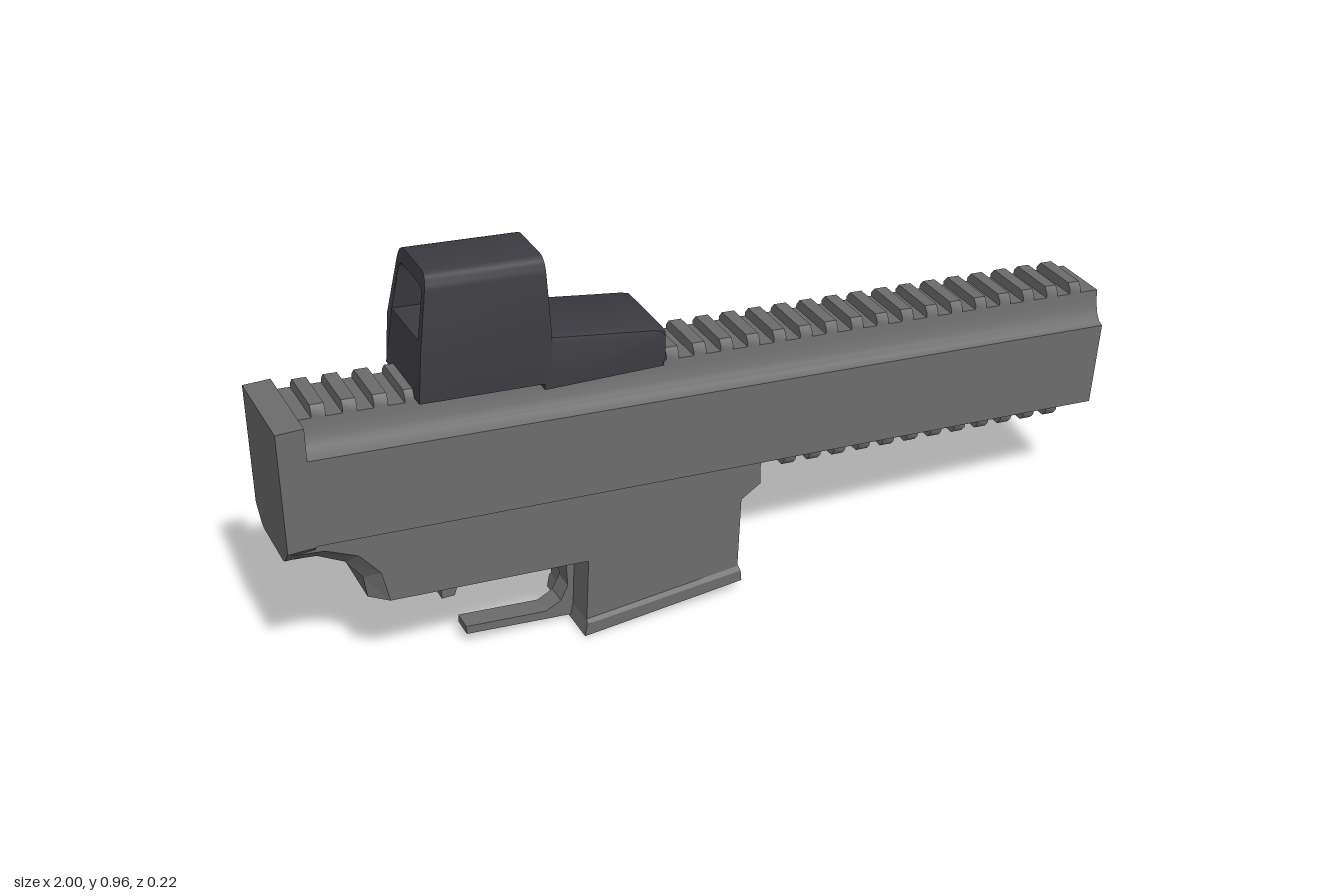
import * as THREE from 'three';
import { toCreasedNormals } from 'three/addons/utils/BufferGeometryUtils.js';

const TILT = 0.08; // the long upper half slopes down to the front end

// Joins outlines (counter-clockwise x,y points) placed at rising z into a closed solid
function loft(rings) {
  const pos = [];
  const n = rings[0][1].length;
  const put = (k, i) => pos.push(...rings[k][1][i % n], rings[k][0]);
  for (let k = 0; k < rings.length - 1; k++) {
    for (let i = 0; i < n; i++) {
      put(k, i); put(k, i + 1); put(k + 1, i + 1);
      put(k, i); put(k + 1, i + 1); put(k + 1, i);
    }
  }
  const last = rings.length - 1;
  const capOf = (k) => THREE.ShapeUtils.triangulateShape(rings[k][1].map(p => new THREE.Vector2(...p)), []);
  capOf(last).forEach(t => t.forEach(i => put(last, i)));
  capOf(0).forEach(t => [t[0], t[2], t[1]].forEach(i => put(0, i)));
  const g = new THREE.BufferGeometry();
  g.setAttribute('position', new THREE.Float32BufferAttribute(pos, 3));
  g.computeVertexNormals();
  return g;
}

// Same outline from -w to w
const slab = (pts, w) => loft([[-w, pts], [w, pts]]);

// Mirrored cross-section (half outline of [z, y], bottom to top) run along x
function beam(half, x0, x1) {
  const pts = [...half, ...half.map(([z, y]) => [-z, y]).reverse()];
  const g = slab(pts, (x1 - x0) / 2);
  g.rotateY(Math.PI / 2);
  g.translate((x0 + x1) / 2, 0, 0);
  return toCreasedNormals(g, 0.7);
}

export function createModel() {
  const model = new THREE.Group();
  const grey = new THREE.MeshStandardMaterial({ color: 0x6c6c6d });
  grey.name = 'bodyGrey';
  const dark = new THREE.MeshStandardMaterial({ color: 0x3c3b41 });
  dark.name = 'sightDark';
  const add = (name, geo, mat = grey, parent = model) => {
    const m = new THREE.Mesh(geo, mat);
    m.name = name;
    parent.add(m);
    return m;
  };

  // Sloping upper half, with concave shoulders
  const upper = new THREE.Group();
  upper.name = 'upperBody';
  upper.rotation.z = -TILT;
  model.add(upper);
  add('upperHull', beam([[0.11, 0.345], [0.11, 0.548], [0.097, 0.553], [0.086, 0.566],
    [0.078, 0.585], [0.073, 0.605], [0.07, 0.623]], -1.0, 0.953), grey, upper);
  add('lowerChamfer', beam([[0.055, 0.31], [0.11, 0.346]], 0.116, 0.953), grey, upper);

  // Rail teeth, above and below
  const topTooth = beam([[0.07, 0.615], [0.07, 0.632], [0.058, 0.647]], -0.015, 0.015);
  for (let i = 0; i < 29; i++) {
    add('topRailTooth', topTooth, grey, upper).position.x = -0.95 + i * 0.0657;
  }
  const bottomTooth = beam([[0.046, 0.289], [0.056, 0.302], [0.056, 0.315]], -0.015, 0.015);
  for (let i = 0; i < 12; i++) {
    add('bottomRailTooth', bottomTooth, grey, upper).position.x = 0.166 + i * 0.0654;
  }

  // Rear block with an upright back face and narrowed bottom corners
  add('rearBlock', beam([[0.08, 0.385], [0.112, 0.42], [0.112, 0.703]], -1, -0.94));

  // Lower body: the rear scoop is chamfered between two arcs
  const rest = [[-0.335, 0.197], [-0.345, 0.02], [0.032, 0.05], [0.042, 0.25],
    [0.09, 0.28], [0.09, 0.345], [-1, 0.43]];
  const outer = [[-1, 0.41], [-0.92, 0.4], [-0.85, 0.367], [-0.805, 0.31], [-0.79, 0.235], ...rest];
  const inner = [[-1, 0.38], [-0.93, 0.372], [-0.872, 0.34], [-0.836, 0.29], [-0.83, 0.238], ...rest];
  add('lowerBody', loft([[-0.102, outer], [-0.07, inner], [0.07, inner], [0.102, outer]]));

  // Flared lip around the bottom of the well
  const lip = [[-0.352, 0.004], [0.04, 0.035], [0.038, 0.062], [-0.346, 0.034]];
  const lipTop = [[-0.352, 0.004], [0.04, 0.035], [0.034, 0.075], [-0.342, 0.047]];
  add('wellLip', loft([[-0.109, lip], [-0.1, lipTop], [0.1, lipTop], [0.109, lip]]));

  // Guard bar with its curved web, and the short rear post
  add('guardBar', slab([[-0.6, 0.036], [-0.35, 0.01], [-0.33, 0.01], [-0.33, 0.2], [-0.43, 0.205],
    [-0.385, 0.178], [-0.357, 0.145], [-0.355, 0.09], [-0.373, 0.055], [-0.41, 0.037], [-0.6, 0.056]], 0.025));
  add('rearPost', slab([[-0.655, 0.155], [-0.625, 0.155], [-0.617, 0.18], [-0.59, 0.2],
    [-0.55, 0.21], [-0.55, 0.23], [-0.655, 0.23]], 0.035));

  // Sight hood: open frame with a leaning back
  const sight = new THREE.Group();
  sight.name = 'sight';
  model.add(sight);
  const frame = new THREE.Shape();
  frame.moveTo(-0.1, 0.685);
  frame.lineTo(0.1, 0.685);
  frame.lineTo(0.1, 0.8);
  frame.lineTo(0.082, 0.93);
  frame.quadraticCurveTo(0.077, 0.965, 0.05, 0.965);
  frame.lineTo(-0.05, 0.965);
  frame.quadraticCurveTo(-0.077, 0.965, -0.082, 0.93);
  frame.lineTo(-0.1, 0.8);
  frame.closePath();
  const opening = new THREE.Path();
  opening.moveTo(-0.078, 0.82);
  opening.lineTo(-0.068, 0.91);
  opening.quadraticCurveTo(-0.066, 0.932, -0.048, 0.932);
  opening.lineTo(0.048, 0.932);
  opening.quadraticCurveTo(0.066, 0.932, 0.068, 0.91);
  opening.lineTo(0.078, 0.82);
  opening.closePath();
  frame.holes.push(opening);
  const hood = new THREE.ExtrudeGeometry(frame, { depth: 1, bevelEnabled: false, curveSegments: 6 });
  hood.rotateY(Math.PI / 2);
  const p = hood.attributes.position;
  for (let i = 0; i < p.count; i++) {
    const y = p.getY(i);
    const back = -0.695 + Math.max(0, y - 0.685) * 0.09 + Math.max(0, y - 0.8) * 0.09;
    const x = p.getX(i) > 0.5 ? -0.4 : back;
    p.setXY(i, x, y - TILT * (x + 0.655));
  }
  add('sightHood', toCreasedNormals(hood, 0.6), dark, sight);

  // Sight nose with softened upper edges
  const nose = (d) => [[-0.42, 0.652], [-0.145, 0.642], [-0.135 - d, 0.66], [-0.135 - d, 0.715 - d],
    [-0.142 - d, 0.728 - d], [-0.16 - d, 0.734 - d], [-0.42, 0.777 - d]];
  add('sightNose', toCreasedNormals(loft([[-0.1, nose(0.016)], [-0.096, nose(0.005)], [-0.085, nose(0)],
    [0.085, nose(0)], [0.096, nose(0.005)], [0.1, nose(0.016)]]), 0.7), dark, sight);

  // Mount between sight and rail
  add('sightMount', slab([[-0.69, 0.66], [-0.14, 0.615], [-0.14, 0.65], [-0.69, 0.69]], 0.068), dark, sight);

  return model;
}
